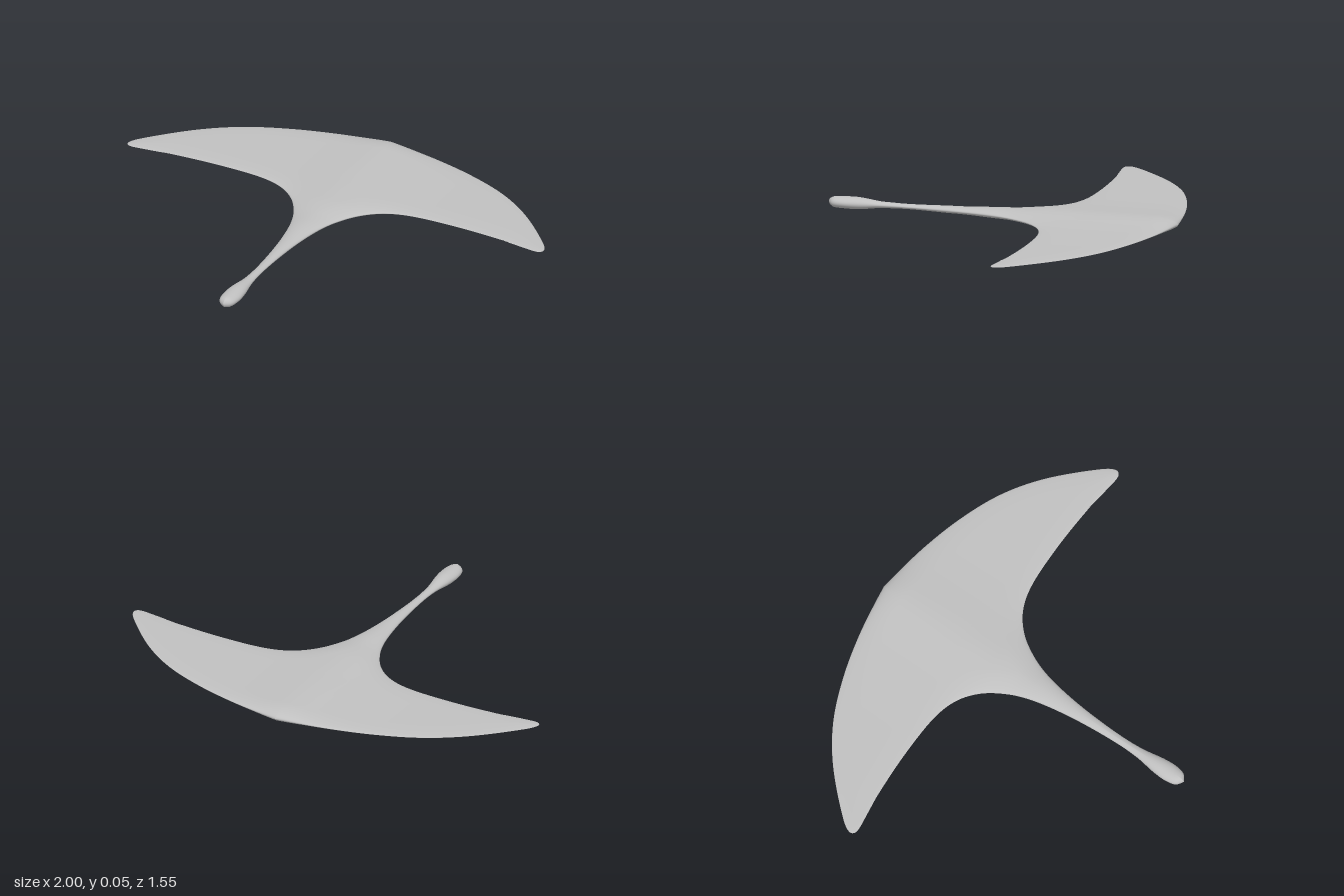
import * as THREE from 'three';

// Half outline from the back centre, round the wing tip, down to the stem end.
// Each entry: x, z on the outline, and the z where its rib meets the centre line.
const OUTLINE = [
  [0, -0.78, -0.78], [0.1, -0.766, -0.76], [0.245, -0.74, -0.72], [0.43, -0.69, -0.66],
  [0.62, -0.612, -0.58], [0.78, -0.505, -0.5], [0.94, -0.35, -0.44], [0.992, -0.285, -0.41],
  [0.998, -0.258, -0.395], [0.98, -0.243, -0.38], [0.83, -0.26, -0.36], [0.57, -0.273, -0.33],
  [0.35, -0.262, -0.295], [0.245, -0.228, -0.24], [0.165, -0.165, -0.17], [0.105, -0.075, -0.075],
  [0.068, 0.02, 0.02], [0.035, 0.2, 0.2], [0.019, 0.44, 0.44], [0.023, 0.55, 0.55],
  [0.038, 0.65, 0.65], [0.04, 0.71, 0.71], [0.028, 0.755, 0.755], [0, 0.775, 0.775],
];

// Half thickness along the centre line: z, height
const THICKNESS = [
  [-0.2, 0.0275], [0, 0.021], [0.2, 0.015], [0.42, 0.012], [0.52, 0.014], [0.66, 0.026], [0.775, 0.024],
];

const MID_Y = 0.0275;
const ROWS_PER_SPAN = 6;
const RING = 104;

function centreThickness(z) {
  if (z <= THICKNESS[0][0]) return THICKNESS[0][1];
  for (let i = 1; i < THICKNESS.length; i++) {
    const [z0, h0] = THICKNESS[i - 1];
    const [z1, h1] = THICKNESS[i];
    if (z <= z1) return THREE.MathUtils.lerp(h0, h1, THREE.MathUtils.smoothstep(z, z0, z1));
  }
  return THICKNESS[THICKNESS.length - 1][1];
}

// Shortest distance from a point to the outline
function edgeDistance(x, z, rim) {
  let best = Infinity;
  for (let i = 1; i < rim.length; i++) {
    const a = rim[i - 1];
    const dx = rim[i].x - a.x;
    const dz = rim[i].z - a.z;
    const t = THREE.MathUtils.clamp(((x - a.x) * dx + (z - a.z) * dz) / (dx * dx + dz * dz), 0, 1);
    best = Math.min(best, Math.hypot(x - a.x - t * dx, z - a.z - t * dz));
  }
  return best;
}

// Closed rings of ribs, thick in the middle, thin on the wings and rounded at the rim
function bodyGeometry() {
  const curve = new THREE.CatmullRomCurve3(OUTLINE.map(([x, z, c]) => new THREE.Vector3(x, c, z)));
  const rim = curve.getPoints((OUTLINE.length - 1) * ROWS_PER_SPAN);
  const positions = [];
  const index = [];

  rim.forEach((p, i) => {
    const round = p.z < -0.2 ? 0.1 : THREE.MathUtils.clamp(p.x, 0.03, 0.1);
    for (let j = 0; j < RING; j++) {
      const a = (j / RING) * Math.PI * 2;
      const s = Math.abs(Math.sin(a));
      const x = s * p.x;
      const z = THREE.MathUtils.lerp(p.y, p.z, s);
      const d = Math.min(edgeDistance(x, z, rim) / round, 1);
      const wing = 0.15 + 0.85 / (1 + (x / 0.17) ** 2);
      const h = centreThickness(z) * wing * Math.sqrt(1 - (1 - d) ** 2);
      positions.push(Math.sign(Math.sin(a)) * x, MID_Y + Math.sign(Math.cos(a)) * h, z);

      if (i < rim.length - 1) {
        const k = (j + 1) % RING;
        const a0 = i * RING + j, a1 = i * RING + k;
        const b0 = a0 + RING, b1 = a1 + RING;
        index.push(a0, b0, a1, a1, b0, b1);
      }
    }
  });

  const geometry = new THREE.BufferGeometry();
  geometry.setAttribute('position', new THREE.Float32BufferAttribute(positions, 3));
  geometry.setIndex(index);
  geometry.computeVertexNormals();
  return geometry;
}

export function createModel() {
  const group = new THREE.Group();
  group.name = 'crescentBlade';

  const grey = new THREE.MeshStandardMaterial({ color: 0xc0c0c0 });
  grey.name = 'light grey';

  // Crescent wing and stem in one smooth skin
  const body = new THREE.Mesh(bodyGeometry(), grey);
  body.name = 'wingAndStem';
  group.add(body);
  return group;
}
